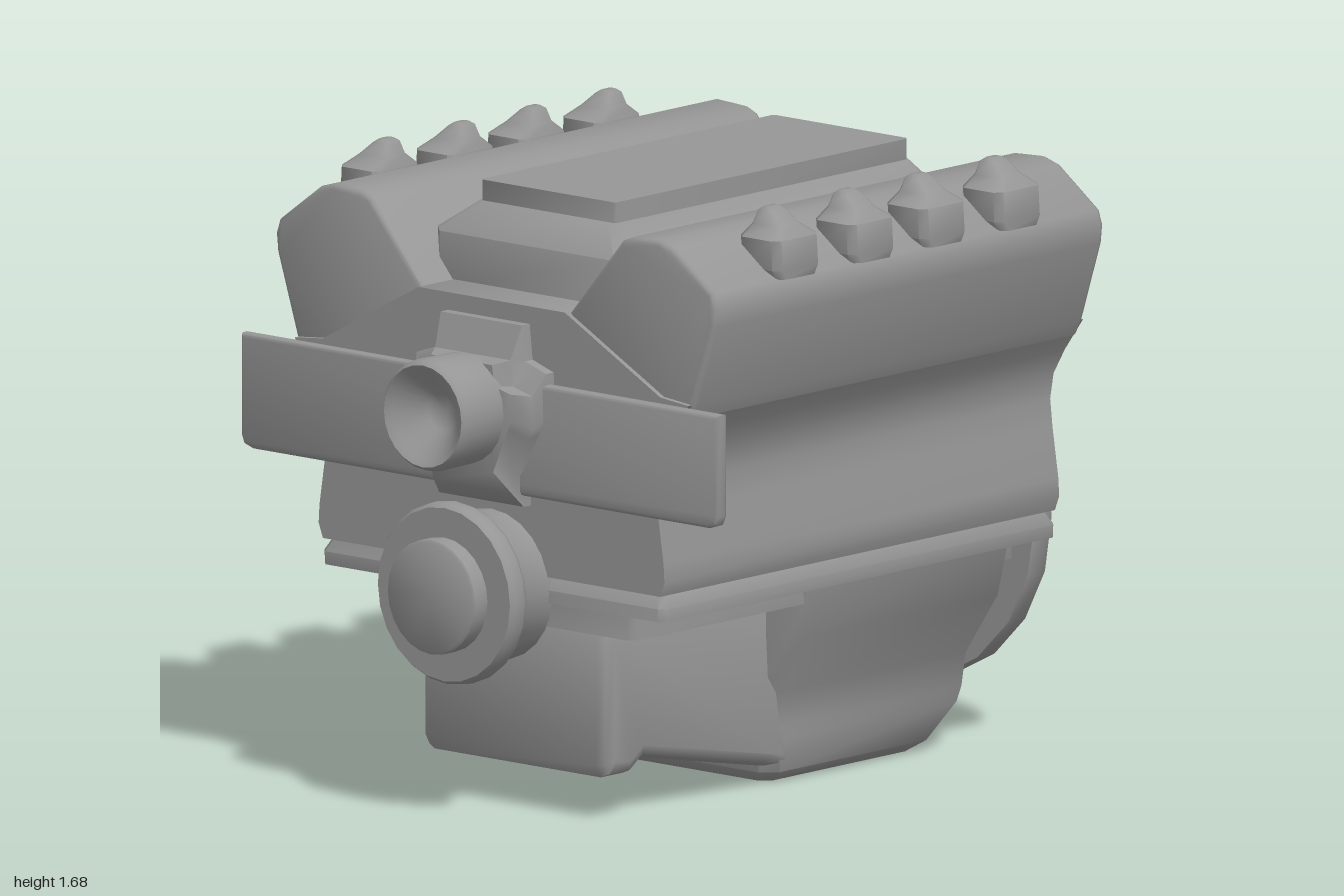
import * as THREE from 'three';
import { toCreasedNormals } from 'three/addons/utils/BufferGeometryUtils.js';

const material = new THREE.MeshStandardMaterial({ color: 0x969696 });

export function createModel() {
  const engine = new THREE.Group();
  engine.name = 'engine';

  const add = (name, geometry, crease = 0.9) => {
    const mesh = new THREE.Mesh(toCreasedNormals(geometry, crease), material);
    mesh.name = name;
    engine.add(mesh);
    return mesh;
  };

  // Half outline (x >= 0, bottom to top) completed by its mirror image
  const mirrored = (half) => [...half, ...half.map(([x, y]) => [-x, y]).reverse()];

  // Outline in x, y extruded from z0 to z1, with an optional bevel on the ends
  const prism = (points, z0, z1, bevel = 0) => {
    const shape = new THREE.Shape(points.map(([x, y]) => new THREE.Vector2(x, y)));
    return new THREE.ExtrudeGeometry(shape, {
      depth: z1 - z0 - 2 * bevel, bevelEnabled: bevel > 0, bevelSize: bevel,
      bevelThickness: bevel, bevelOffset: -bevel, bevelSegments: 2,
    }).translate(0, 0, z0 + bevel);
  };

  // Turned part along z from [radius, z] pairs, back to front
  const turned = (profile, y, sides) =>
    new THREE.LatheGeometry(profile.map(([r, z]) => new THREE.Vector2(r, z)), sides)
      .rotateX(Math.PI / 2).translate(0, y, 0);

  // Closed skin through rings that run anticlockwise seen from the last one
  const loft = (rings) => {
    const n = rings[0].length, index = [];
    for (let i = 0; i < rings.length - 1; i++) {
      for (let j = 0; j < n; j++) {
        const a = i * n + j, b = i * n + (j + 1) % n;
        index.push(a, b, b + n, a, b + n, a + n);
      }
    }
    const top = (rings.length - 1) * n;
    for (let j = 1; j < n - 1; j++) {
      index.push(0, j + 1, j, top, top + j, top + j + 1);
    }
    const geometry = new THREE.BufferGeometry();
    geometry.setAttribute('position', new THREE.Float32BufferAttribute(rings.flat(2), 3));
    geometry.setIndex(index);
    return geometry;
  };

  // Rectangle ring with cut corners
  const ring = (y, hx, z0, z1, c = 0.02, x = 0) => [
    [x + hx, y, z1 - c], [x + hx, y, z0 + c], [x + hx - c, y, z0], [x + c - hx, y, z0],
    [x - hx, y, z0 + c], [x - hx, y, z1 - c], [x + c - hx, y, z1], [x + hx - c, y, z1],
  ];

  // Engine block: hollowed flanks flaring out to meet the heads, sloping decks
  add('block', prism(mirrored([
    [0.6, 0.66], [0.615, 0.7], [0.612, 0.75], [0.592, 0.88], [0.583, 0.96],
    [0.595, 1.03], [0.635, 1.1], [0.7, 1.19], [0.6, 1.2], [0.26, 1.385],
  ]), -0.85, 0.725), 0.7);
  add('blockFlange', loft([
    ring(0.59, 0.61, -0.85, 0.725), ring(0.625, 0.612, -0.85, 0.725), ring(0.665, 0.595, -0.825, 0.7),
  ]));

  // Two cylinder heads, each with four plug boots
  const head = [
    [0.69, 1.15], [0.71, 1.19], [0.78, 1.41], [0.785, 1.46], [0.772, 1.5], [0.63, 1.605], [0.58, 1.62],
    [0.48, 1.615], [0.445, 1.6], [0.25, 1.37], [0.5, 1.15],
  ];
  for (const side of [1, -1]) {
    const label = side > 0 ? 'left' : 'right';
    const outline = head.map(([x, y]) => [side * x, y]);
    add(label + 'CylinderHead', prism(outline, -0.84, 0.71, 0.015));
    for (const z of [0.375, 0.075, -0.21, -0.51]) {
      const boot = loft([
        ring(1.5, 0.07, -0.075, 0.075, 0.02, side * 0.718), ring(1.525, 0.075, -0.09, 0.09, 0.02, side * 0.712),
        ring(1.605, 0.072, -0.09, 0.09, 0.02, side * 0.71), ring(1.635, 0.05, -0.05, 0.05, 0.015, side * 0.7),
        ring(1.67, 0.025, -0.035, 0.035, 0.01, side * 0.685), ring(1.68, 0.012, -0.02, 0.02, 0.005, side * 0.685),
      ]);
      add(label + 'PlugBoot', boot).position.z = z;
    }
  }

  // Intake manifold and its raised lid in the valley
  add('intakeManifold', loft([
    ring(1.36, 0.36, -0.72, 0.585, 0.05), ring(1.51, 0.36, -0.72, 0.585, 0.05),
    ring(1.59, 0.245, -0.68, 0.51, 0.02),
  ]));
  add('intakeLid', loft([
    ring(1.55, 0.24, -0.67, 0.5, 0.008), ring(1.646, 0.24, -0.67, 0.5, 0.008),
  ]));

  // Oil pan: rail, wide rear tub and a shallower front part shaped from the side
  add('oilPanRail', loft([ring(0.51, 0.45, -0.865, 0.665), ring(0.6, 0.45, -0.865, 0.665)]));
  add('oilPanRear', loft([
    ring(0, 0.28, -0.64, -0.055, 0.03), ring(0.03, 0.32, -0.69, -0.025, 0.04),
    ring(0.12, 0.33, -0.8, -0.02, 0.04), ring(0.16, 0.33, -0.82, -0.015, 0.04),
    ring(0.25, 0.34, -0.825, -0.01, 0.04), ring(0.42, 0.45, -0.83, 0, 0.04),
    ring(0.6, 0.49, -0.835, 0, 0.04),
  ]));
  const front = [
    [0.62, 0.53], [0.64, 0.49], [0.64, 0.15], [0.62, 0.115], [0.53, 0.115], [0.48, 0.15],
    [0, 0.055], [-0.1, 0.04], [-0.1, 0.53],
  ].map(([z, y]) => [-z, y]);
  add('oilPanFront', prism(front, -0.33, 0.33, 0.035).rotateY(Math.PI / 2));

  // Front cross plate
  add('frontPlate', prism(mirrored([
    [0.81, 0.88], [0.84, 0.89], [0.85, 0.915], [0.85, 1.19],
  ]), 0.735, 0.775, 0.012));

  // Water pump housing tapering forward to its dished pulley
  const housing = mirrored([
    [0.15, 0.85], [0.15, 0.93], [0.22, 1.06], [0.235, 1.1], [0.23, 1.22], [0.155, 1.245], [0.145, 1.34],
  ]);
  const section = (z, s, low, high) => housing.map(([x, y]) =>
    [x * s, THREE.MathUtils.mapLinear(y, 0.85, 1.34, low, high), z]);
  add('pumpHousing', loft([
    section(0.735, 1, 0.85, 1.34), section(0.765, 1, 0.85, 1.34),
    section(0.8, 0.92, 0.89, 1.25), section(0.845, 0.75, 0.95, 1.24),
  ]));
  add('pumpPulley', turned([
    [0, 0.8], [0.14, 0.8], [0.15, 0.84], [0.152, 0.97], [0.147, 0.99], [0.138, 1],
    [0.12, 0.988], [0.05, 0.92], [0, 0.9],
  ], 1.11, 24));

  // Crankshaft pulley
  add('crankPulley', turned([
    [0, 0.71], [0.205, 0.71], [0.2, 0.825], [0.215, 0.84], [0.24, 0.855], [0.247, 0.87], [0.245, 0.9],
    [0.235, 0.915], [0.155, 0.915], [0.155, 0.965], [0.148, 0.97], [0, 0.97],
  ], 0.615, 24));

  // Dished flywheel at the back
  add('flywheel', turned([
    [0, -0.9], [0.05, -0.905], [0.1, -0.93], [0.17, -0.968], [0.26, -0.993], [0.34, -1], [0.42, -0.996],
    [0.47, -0.975], [0.495, -0.955], [0.5, -0.9], [0.495, -0.887], [0, -0.887],
  ], 0.615, 20), 1);

  return engine;
}
